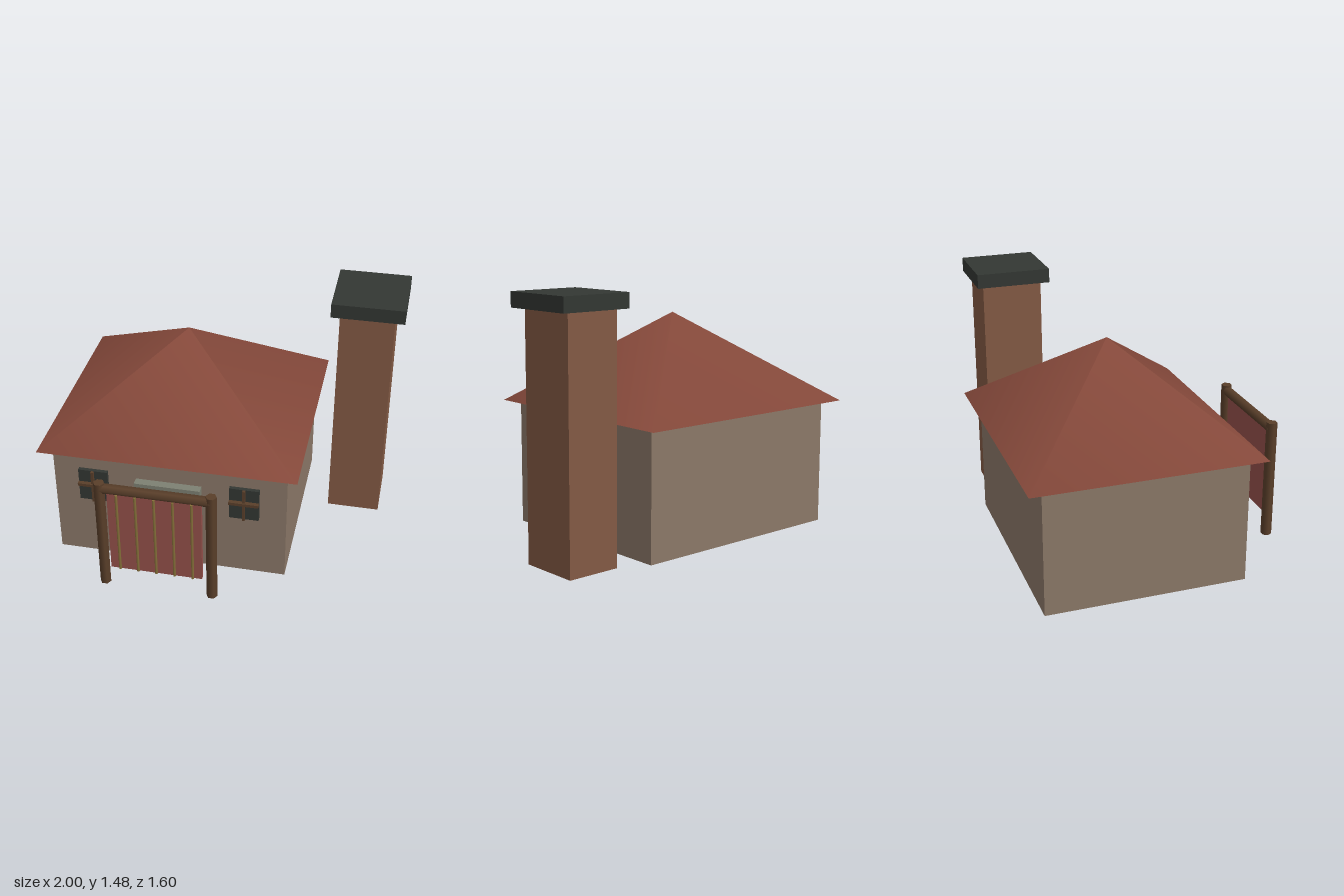
import * as THREE from 'three';

const mat = (color) => new THREE.MeshStandardMaterial({ color });
const stone = mat(0x8b7868), brick = mat(0x835a44), tile = mat(0x84483a), dark = mat(0x333733);
const wood = mat(0x5a3f2a), cloth = mat(0x94504a), brass = mat(0x86703a), trim = mat(0x7d8072);

export function createModel() {
  const model = new THREE.Group();

  const add = (name, geometry, material, parent = model) => {
    const mesh = new THREE.Mesh(geometry, material);
    mesh.name = name;
    parent.add(mesh);
    return mesh;
  };
  // Box given by its limits on each axis
  const box = (name, material, [x0, x1], [y0, y1], [z0, z1], parent) => {
    const geometry = new THREE.BoxGeometry(x1 - x0, y1 - y0, z1 - z0);
    geometry.translate((x0 + x1) / 2, (y0 + y1) / 2, (z0 + z1) / 2);
    return add(name, geometry, material, parent);
  };
  const group = (name) => {
    const g = new THREE.Group();
    g.name = name;
    model.add(g);
    return g;
  };

  // House body
  box('walls', stone, [-0.93, 0.455], [0, 0.75], [-0.715, 0.46]);

  // Four-sided roof, stretched to the eaves
  const roof = new THREE.ConeGeometry(Math.SQRT1_2, 0.535, 4);
  roof.rotateY(Math.PI / 4);
  roof.scale(1.52, 1, 1.345);
  roof.translate(-0.24, 1.0175, -0.128);
  add('roof', roof, tile);

  // Free-standing chimney
  box('chimney', brick, [0.622, 0.942], [0, 1.39], [-0.63, -0.268]);
  box('chimneyCap', dark, [0.572, 1], [1.39, 1.475], [-0.672, -0.225]);

  // Windows with crossed bars
  for (const [side, x] of [['right', -0.685], ['left', 0.211]]) {
    const win = group(side + 'Window');
    box('pane', dark, [x - 0.087, x + 0.087], [0.415, 0.625], [0.472, 0.495], win);
    box('verticalBar', wood, [x - 0.008, x + 0.008], [0.415, 0.625], [0.495, 0.513], win);
    box('crossBar', wood, [x - 0.087, x + 0.087], [0.525, 0.543], [0.495, 0.52], win);
  }

  // Door and its frame
  const door = group('door');
  box('doorPanel', dark, [-0.39, -0.09], [0.03, 0.54], [0.46, 0.5], door);
  for (const x of [-0.41, -0.07])
    box('doorJamb', trim, [x - 0.025, x + 0.025], [0.025, 0.54], [0.46, 0.51], door);
  box('doorLintel', trim, [-0.435, -0.045], [0.54, 0.585], [0.46, 0.51], door);

  // Log frame in front of the door, with a hanging cloth and thin rods
  const screen = group('screen');
  for (const x of [-0.556, 0.08]) {
    const post = add('post', new THREE.CylinderGeometry(0.032, 0.032, 0.722, 6), wood, screen);
    post.rotation.y = Math.PI / 2;
    post.position.set(x, 0.409, 0.77);
  }
  const beam = add('beam', new THREE.CylinderGeometry(0.03, 0.03, 0.636, 6), wood, screen);
  beam.rotation.z = Math.PI / 2;
  beam.position.set(-0.238, 0.732, 0.77);
  box('cloth', cloth, [-0.51, 0.027], [0.178, 0.712], [0.76, 0.788], screen);
  for (let i = -2; i <= 2; i++) {
    const rod = add('rod', new THREE.CylinderGeometry(0.008, 0.008, 0.534, 6), brass, screen);
    rod.position.set(-0.24 + i * 0.107, 0.445, 0.793);
  }

  return model;
}
